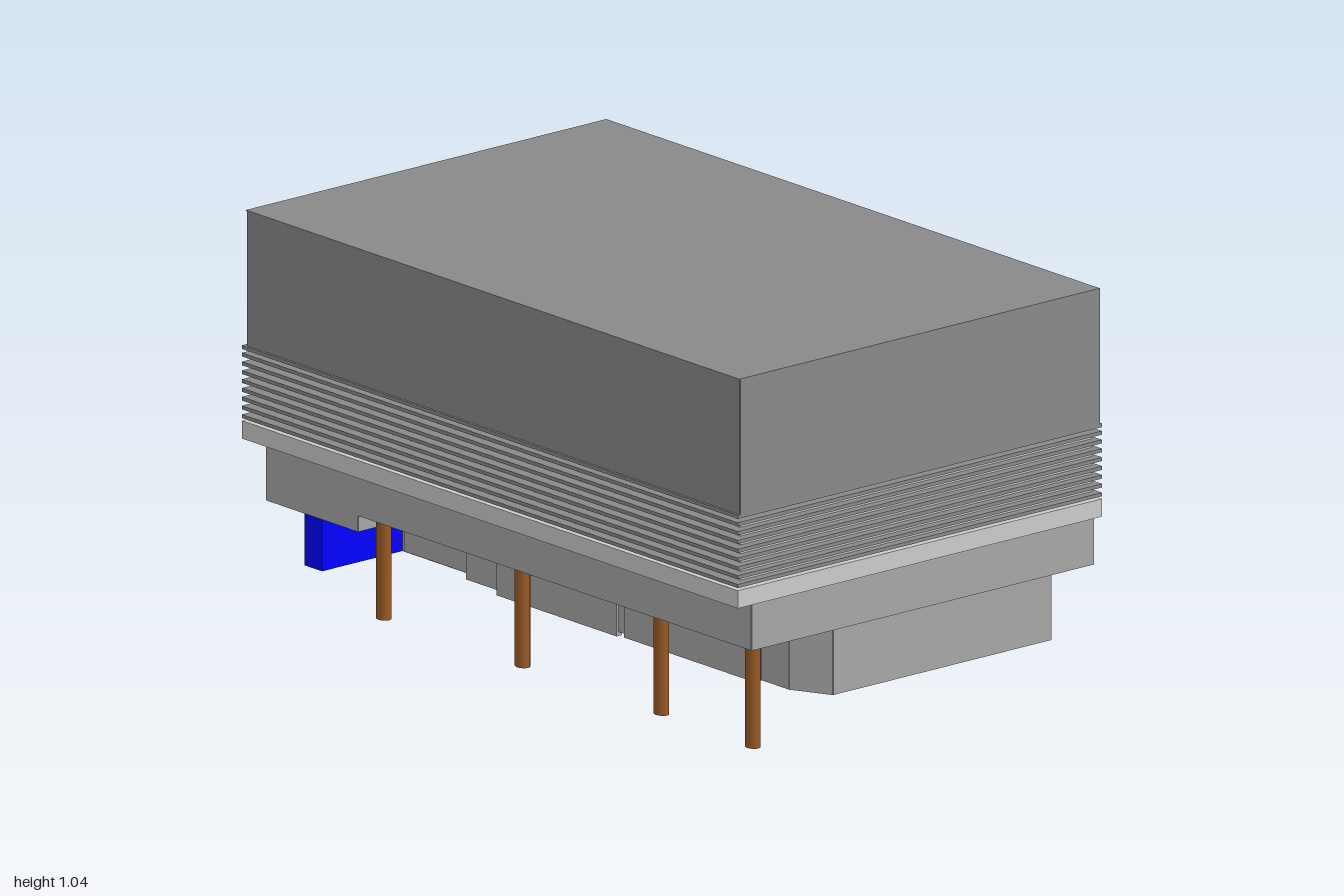
import * as THREE from 'three';

const paint = (color) => new THREE.MeshStandardMaterial({ color, side: THREE.DoubleSide });
const light = paint(0xcccccc);
const mid = paint(0xa7a7a7);
const dark = paint(0x898989);
const blue = paint(0x0000ff);
const brown = paint(0x9a5a24);

export function createModel() {
  const model = new THREE.Group();
  model.name = 'building';

  // Box given by its limits on each axis
  function box(name, [x0, x1], [y0, y1], [z0, z1], material) {
    const mesh = new THREE.Mesh(new THREE.BoxGeometry(x1 - x0, y1 - y0, z1 - z0), material);
    mesh.position.set((x0 + x1) / 2, (y0 + y1) / 2, (z0 + z1) / 2);
    mesh.name = name;
    model.add(mesh);
    return mesh;
  }

  // Thin upright wall following points [x, z]
  function wall(name, points, y0, y1, material = mid) {
    for (let i = 1; i < points.length; i++) {
      const [ax, az] = points[i - 1], [bx, bz] = points[i];
      const length = Math.hypot(bx - ax, bz - az);
      const mesh = new THREE.Mesh(new THREE.BoxGeometry(length, y1 - y0, 0.004), material);
      mesh.position.set((ax + bx) / 2, (y0 + y1) / 2, (az + bz) / 2);
      mesh.rotation.y = -Math.atan2(bz - az, bx - ax);
      mesh.name = name;
      model.add(mesh);
    }
  }

  // Upper storey: roof and three walls, open on the +x side
  box('roof', [-0.625, 0.622], [1.04, 1.043], [-0.99, 1], dark);
  wall('upperWall', [[0.622, 0.998], [-0.621, 0.998], [-0.621, -0.988], [0.622, -0.988]], 0.67, 1.04, dark);
  box('upperFloor', [-0.63, 0.63], [0.66, 0.67], [-1, 1], dark);

  // Slatted band around a recessed core; most slats have no end face on the +x side
  box('bandCore', [-0.6, 0.617], [0.473, 0.648], [-0.975, 0.975], light);
  const count = 8;
  for (let i = 0; i < count; i++) {
    const y = 0.47 + i * 0.0242;
    const slat = box('slat', [-0.63, 0.63], [y, y + 0.01], [-1, 1], dark);
    const closed = i === 0 || i === 5;
    if (!closed) slat.geometry.setIndex(Array.from(slat.geometry.index.array).slice(6));
  }
  box('floorSlab', [-0.63, 0.63], [0.414, 0.463], [-1, 1], light);

  // Fascia on three sides, deeper at the back, with soffits
  wall('fascia', [[0.62, 0.978], [-0.563, 0.978], [-0.563, -0.978], [0.62, -0.978]], 0.28, 0.414);
  wall('rearFascia', [[-0.563, -0.61], [-0.563, -0.978], [0.62, -0.978]], 0.238, 0.28);
  wall('soffitStep', [[-0.563, -0.61], [0.62, -0.61]], 0.238, 0.282);
  wall('soffitPanel', [[0.43, -0.5], [0.62, -0.5]], 0.28, 0.414);
  box('soffit', [-0.563, 0.62], [0.28, 0.284], [-0.61, 0.978], mid);
  box('rearSoffit', [-0.563, 0.62], [0.235, 0.239], [-0.978, -0.61], mid);

  // Ground floor walls, open on the +x side
  wall('frontRoomWall', [[0.625, 0.8], [-0.13, 0.8], [-0.185, 0.69], [-0.185, 0.58]], 0.03, 0.28);
  wall('mainRoomWall', [[0.625, 0.58], [-0.188, 0.58], [-0.188, -0.61]], 0.03, 0.28);
  wall('rearRoomWall', [[0.625, -0.61], [-0.15, -0.61]], 0.03, 0.28);
  wall('rearSideWall', [[-0.15, -0.61], [-0.15, -0.91]], 0.03, 0.236);

  // Panels standing proud of the side walls
  box('sidePanel', [-0.196, -0.178], [0.022, 0.23], [0.035, 0.53], mid);
  box('sidePanel', [-0.196, -0.178], [0.018, 0.23], [-0.48, 0.005], mid);
  box('rearSidePanel', [-0.155, -0.144], [0.032, 0.225], [-0.9, -0.625], mid);

  // Coloured block under the back edge
  box('rearBlock', [-0.43, 0.57], [0.03, 0.24], [-0.98, -0.91], blue);

  // Row of oval posts along the -x side
  for (const z of [0.94, 0.56, 0, -0.56]) {
    const post = new THREE.Mesh(new THREE.CylinderGeometry(0.023, 0.023, 0.287, 16), brown);
    post.scale.x = 0.8;
    post.position.set(z > 0.9 ? -0.527 : -0.517, 0.1435, z);
    post.name = 'post';
    model.add(post);
  }
  return model;
}
